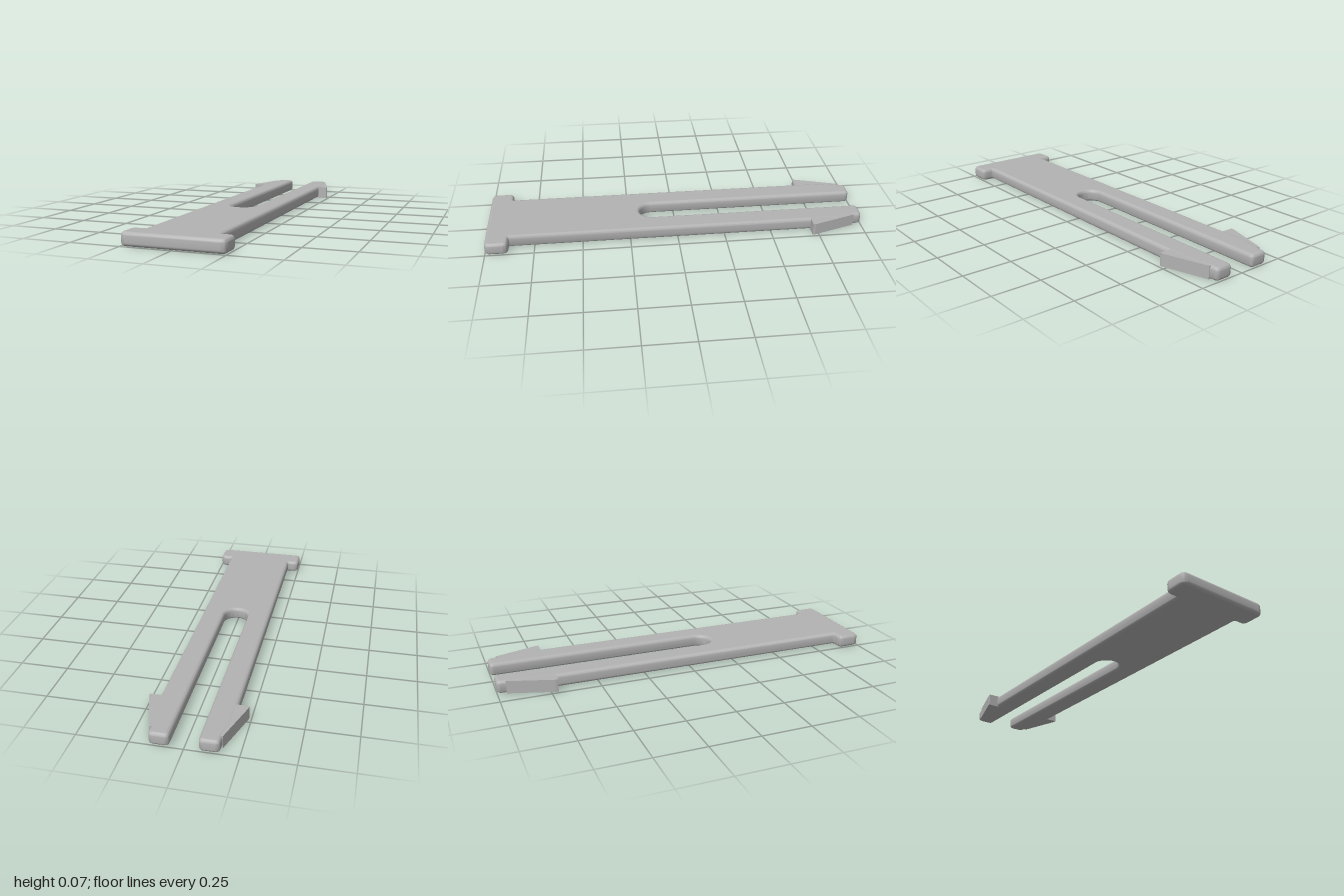
import * as THREE from 'three';
import { toCreasedNormals } from 'three/addons/utils/BufferGeometryUtils.js';

const T = 0.067; // plate thickness
const R = 0.018; // edge rounding

// Closed outline from [x, z, cornerRadius] points, corners rounded by short curves
function outline(points) {
  const shape = new THREE.Shape();
  const n = points.length;
  points.forEach(([x, z, r = 0], i) => {
    const p = new THREE.Vector2(x, z);
    const toward = ([qx, qz]) => new THREE.Vector2(qx, qz).sub(p).setLength(r).add(p);
    const a = toward(points[(i + n - 1) % n]);
    const b = toward(points[(i + 1) % n]);
    if (i === 0) shape.moveTo(a.x, a.y);
    else shape.lineTo(a.x, a.y);
    if (r > 0) shape.quadraticCurveTo(x, z, b.x, b.y);
  });
  shape.closePath();
  return shape;
}

// Lays an x/z outline flat with its underside at y = 0
function plate(shape, height, bevel) {
  const geo = new THREE.ExtrudeGeometry(shape, {
    depth: height - 2 * bevel, bevelEnabled: bevel > 0, bevelThickness: bevel,
    bevelSize: bevel, bevelOffset: -bevel, bevelSegments: 5, curveSegments: 6,
  });
  geo.rotateX(Math.PI / 2).translate(0, height - bevel, 0);
  return geo;
}

export function createModel() {
  const model = new THREE.Group();
  const grey = new THREE.MeshStandardMaterial({ color: 0xb2b2b2 });
  grey.name = 'grey plastic';

  // Half outline, from the head round to the prong tip and down the slot
  const half = [
    [0.25, 1, 0.028], [0.25, 0.88, 0.028], [0.186, 0.88, 0.006],
    [0.186, -0.86], [0.163, -0.96], [0.161, -1, 0.022], [0.066, -1, 0.022],
  ];
  // Semicircular slot end
  const slot = [];
  for (let i = 0; i <= 16; i++) {
    const a = (i / 16) * Math.PI;
    slot.push([0.066 * Math.cos(a), 0.125 + 0.066 * Math.sin(a)]);
  }
  const mirrored = half.map(([x, z, r]) => [-x, z, r]).reverse();
  const bodyGeo = toCreasedNormals(plate(outline([...half, ...slot, ...mirrored]), T, R), 0.6);

  // Keep the broad faces flat while the rounded edges blend into them
  const pos = bodyGeo.attributes.position;
  for (let i = 0; i < pos.count; i++) {
    const y = pos.getY(i);
    if (y < 1e-5) bodyGeo.attributes.normal.setXYZ(i, 0, -1, 0);
    else if (y > T - 1e-5) bodyGeo.attributes.normal.setXYZ(i, 0, 1, 0);
  }
  const body = new THREE.Mesh(bodyGeo, grey);
  body.name = 'forkedBody';
  model.add(body);

  // Sharp-edged barbs outside the prong tips
  for (const s of [1, -1]) {
    const geo = plate(outline([
      [s * 0.155, -0.955], [s * 0.167, -0.955], [s * 0.238, -0.728, 0.006],
      [s * 0.238, -0.715], [s * 0.155, -0.715],
    ]), T - 0.002, 0);
    geo.translate(0, 0.001, 0);
    const barb = new THREE.Mesh(geo, grey);
    barb.name = s > 0 ? 'leftBarb' : 'rightBarb';
    model.add(barb);
  }
  return model;
}
